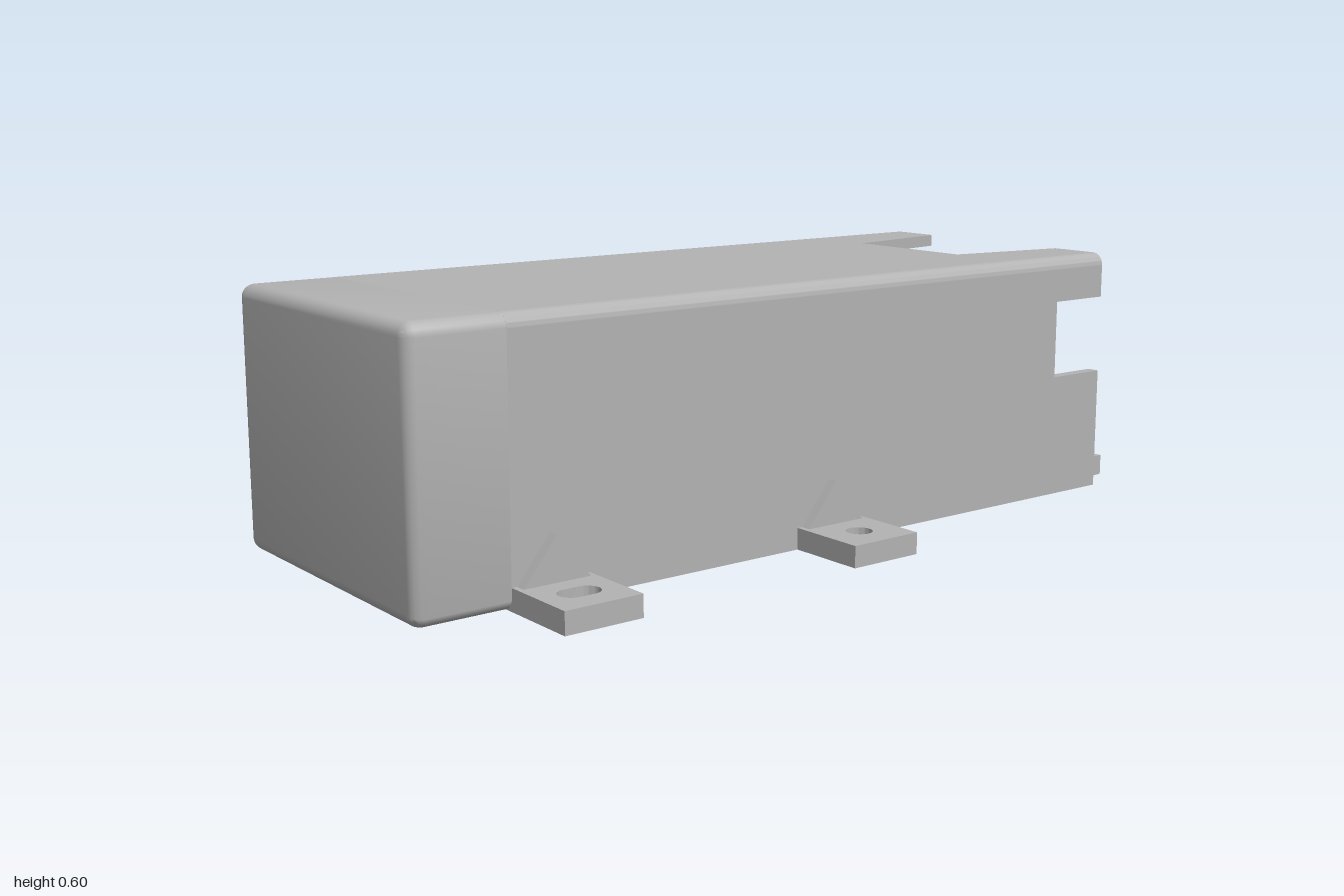
import * as THREE from 'three';
import { toCreasedNormals } from 'three/addons/utils/BufferGeometryUtils.js';

const W = 0.38, H = 0.6, T = 0.03;            // half width, height, wall and corner radius
const BACK = -0.975, JOIN = 0.78, FRONT = 1;  // open end, start of rounded nose, closed end

const polygon = (pts) => new THREE.Shape(pts.map(([x, y]) => new THREE.Vector2(x, y)));
const extrude = (shape, depth) =>
  new THREE.ExtrudeGeometry(shape, { depth, bevelEnabled: false, curveSegments: 10 });
// shape drawn in (z, y), thickness running from x = outer towards -x
const sidePlate = (shape, depth, outer) => extrude(shape, depth).rotateY(-Math.PI / 2).translate(outer, 0, 0);
// shape drawn in (x, z), thickness running down from y = top
const flatPlate = (shape, depth, top) => extrude(shape, depth).rotateX(Math.PI / 2).translate(0, top, 0);

// Rounded rectangle outline, moved inwards by inset
function outline(inset, z, scale = 1) {
  const pts = [], n = 6, r = T - inset;
  [[1, 1], [-1, 1], [-1, -1], [1, -1]].forEach(([sx, sy], k) => {
    for (let i = 0; i <= n; i++) {
      const a = (k + i / n) * Math.PI / 2;
      pts.push([(sx * (W - T) + r * Math.cos(a)) * scale,
        H / 2 + (sy * (H / 2 - T) + r * Math.sin(a)) * scale, z]);
    }
  });
  return pts;
}

// Closed hollow end: inner face, inner walls, rim, outer walls, rounded edge, outer face
function noseGeometry() {
  const rings = [outline(T, FRONT - T, 0), outline(T, FRONT - T), outline(T, JOIN), outline(0, JOIN)];
  for (let i = 0; i <= 6; i++) {
    const a = i / 6 * Math.PI / 2;
    rings.push(outline(T * (1 - Math.cos(a)), FRONT - T + T * Math.sin(a)));
  }
  rings.push(outline(T, FRONT, 0));
  const n = rings[0].length, index = [];
  for (let i = 0; i < rings.length - 1; i++) {
    for (let j = 0; j < n; j++) {
      const a = i * n + j, b = i * n + (j + 1) % n;
      index.push(a, b, b + n, a, b + n, a + n);
    }
  }
  const g = new THREE.BufferGeometry();
  g.setAttribute('position', new THREE.Float32BufferAttribute(rings.flat(2), 3));
  g.setIndex(index);
  return toCreasedNormals(g, 0.5);
}

export function createModel() {
  const model = new THREE.Group();
  model.name = 'mountingEnclosure';
  const grey = new THREE.MeshStandardMaterial({ color: 0xb3b3b3 });
  grey.name = 'grey';
  const add = (name, geometry) => {
    const mesh = new THREE.Mesh(geometry, grey);
    mesh.name = name;
    model.add(mesh);
    return mesh;
  };
  const box = (name, w, h, d, x, y, z) =>
    add(name, new THREE.BoxGeometry(w, h, d).translate(x, y, z));

  add('roundedNose', noseGeometry());

  // Floor with square edges and the lip across the open end
  box('floor', 2 * W, T, JOIN - BACK, 0, T / 2, (JOIN + BACK) / 2);
  box('rearLip', 2 * W, 0.05, 0.035, 0, 0.05, -0.9825);

  // Roof with tapered cut-out
  const e = W - T;
  add('roof', flatPlate(polygon([
    [-e, JOIN], [-e, BACK], [-0.225, BACK], [-0.175, -0.665],
    [0.175, -0.665], [0.225, BACK], [e, BACK], [e, JOIN],
  ]), T, H));

  for (const s of [1, -1]) {
    const side = s > 0 ? 'left' : 'right';

    // Wall with square cut-out
    add(side + 'Wall', sidePlate(polygon([
      [BACK, T], [JOIN, T], [JOIN, H - T], [BACK, H - T],
      [BACK, 0.49], [-0.81, 0.49], [-0.81, 0.3], [BACK, 0.3],
    ]), T, s > 0 ? W : -W + T));

    // Rounded edge between wall and roof
    const corner = new THREE.Shape();
    const start = s > 0 ? 0 : Math.PI / 2;
    corner.moveTo(s * e, H - T);
    corner.absarc(s * e, H - T, T, start, start + Math.PI / 2, false);
    corner.closePath();
    add(side + 'RoofEdge',
      toCreasedNormals(extrude(corner, JOIN - BACK).translate(0, 0, BACK), 0.5));

    // Mounting tabs: round hole at the rear, slot at the front
    for (const [label, z, slot] of [['Rear', -0.06, 0], ['Front', 0.6875, 0.018]]) {
      const x = s * 0.482, r = 0.03, d = 0.0925;
      const x0 = s * (W - 0.01), x1 = s * 0.57;
      const tab = polygon([[x0, z - d], [x1, z - d], [x1, z + d], [x0, z + d]]);
      const hole = new THREE.Path();
      hole.absarc(x, z + slot, r, 0, Math.PI, false);
      hole.absarc(x, z - slot, r, Math.PI, 2 * Math.PI, false);
      hole.closePath();
      tab.holes.push(hole);
      add(side + label + 'Tab', toCreasedNormals(flatPlate(tab, 0.05, 0.05), 0.6));
      add(side + label + 'Gusset', sidePlate(
        polygon([[z - 0.08, 0.05], [z + 0.08, 0.05], [z, 0.15]]),
        0.03, s > 0 ? 0.405 : -0.375));
    }
  }
  return model;
}
